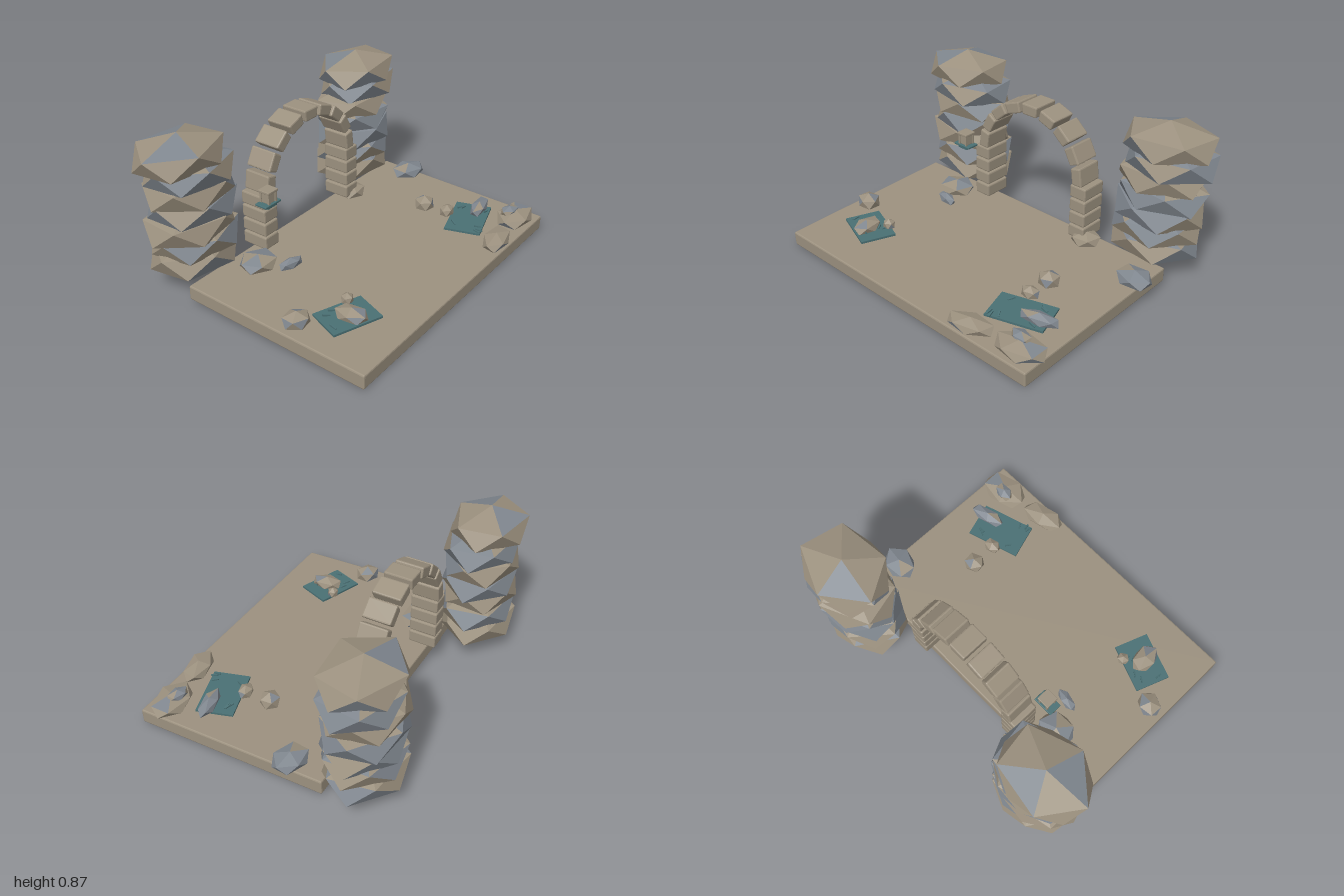
import * as THREE from 'three';
import { RoundedBoxGeometry } from 'three/addons/geometries/RoundedBoxGeometry.js';

export function createModel() {
  const model = new THREE.Group();
  const material = (name, color) => {
    const m = new THREE.MeshStandardMaterial({ color });
    m.name = name;
    return m;
  };
  const sand = material('sandstone', 0x9c917f);
  const slate = material('blue slate', 0x80878f);
  const teal = material('teal cloth', 0x4a7074);

  let seed = 7;
  const rand = () => (seed = (seed * 16807) % 2147483647) / 2147483647;

  const add = (parent, name, geometry, mat, x, y, z) => {
    const mesh = new THREE.Mesh(geometry, mat);
    mesh.name = name;
    mesh.position.set(x, y, z);
    parent.add(mesh);
    return mesh;
  };

  // Box with chamfered edges, optionally narrowing towards the bottom
  const block = (w, h, d, bevel, taper = 0) => {
    const g = new RoundedBoxGeometry(w, h, d, 1, bevel);
    const p = g.attributes.position;
    for (let i = 0; i < p.count; i++) p.setX(i, p.getX(i) * (1 + taper * p.getY(i) / h));
    g.computeVertexNormals();
    return g;
  };

  // Faceted boulder standing on a point; a share of its faces is slate
  const boulder = (parent, name, x, y, z, rx, ry, rz, turn, slateShare, spin = 0) => {
    const g = new THREE.IcosahedronGeometry(1, 0);
    g.rotateZ(-Math.atan(2 / (1 + Math.sqrt(5))));
    g.rotateY(spin);
    g.scale(rx, ry, rz);
    g.computeVertexNormals();
    for (let f = 0; f < 20; f++) g.addGroup(f * 3, 3, rand() < slateShare ? 1 : 0);
    const mesh = add(parent, name, g, [sand, slate], x, y, z);
    mesh.rotation.y = turn;
    return mesh;
  };

  // Ground slab, sloping gently down to the front
  const slab = add(model, 'groundSlab', block(1.75, 0.082, 1.1, 0.008), sand, -0.025, 0.057, 0.17);
  slab.rotation.x = 0.027;

  // Rock pillars: per boulder from the bottom, x centre and share of slate faces
  const pillars = {
    rightPillar: [[-0.7, 0.1], [-0.69, 0.5], [-0.72, 0.15], [-0.69, 0.75],
      [-0.7, 0.1], [-0.7, 0.8], [-0.745, 0.2]],
    leftPillar: [[0.675, 0.45], [0.68, 0.3], [0.69, 0.75], [0.7, 0.7],
      [0.69, 0.1], [0.735, 0.85], [0.715, 0.2]],
  };
  for (const [name, layers] of Object.entries(pillars)) {
    const pillar = new THREE.Group();
    pillar.name = name;
    model.add(pillar);
    layers.forEach(([x, share], i) => {
      const b = boulder(pillar, 'pillarBoulder', x, 0.17 + i * 0.0983, -0.525 + (rand() - 0.5) * 0.02,
        0.285, 0.113, 0.228, 0, share, rand() * 6.28);
      b.rotation.z = (rand() - 0.5) * 0.08;
    });
  }

  // Archway: two block columns and a ring of wedge stones
  const arch = new THREE.Group();
  arch.name = 'archway';
  model.add(arch);
  const cx = -0.022, cz = -0.35;
  for (const side of [-1, 1]) {
    for (let i = 0; i < 4; i++) {
      add(arch, 'columnBlock', block(0.104, 0.073, 0.16, 0.008), sand, cx + side * 0.356, 0.161 + i * 0.0815, cz);
    }
  }
  for (let i = -4; i <= 4; i++) {
    const a = i * 0.358;
    const stone = add(arch, 'archStone', block(0.102, 0.064, 0.16, 0.008, 0.14), sand,
      cx + Math.sin(a) * 0.343, 0.448 + Math.cos(a) * 0.33, cz);
    stone.rotation.z = -a;
  }

  // Small lantern on a teal bracket beside the arch
  const lantern = new THREE.Group();
  lantern.name = 'lantern';
  lantern.position.set(-0.456, 0, -0.216);
  model.add(lantern);
  add(lantern, 'lanternBracket', block(0.118, 0.012, 0.075, 0.003), teal, 0, 0.452, 0);
  add(lantern, 'bracketFoot', block(0.07, 0.016, 0.06, 0.003), teal, 0, 0.44, 0);
  add(lantern, 'lanternBody', block(0.056, 0.06, 0.05, 0.004), sand, 0.003, 0.486, 0);
  add(lantern, 'lanternCap', block(0.074, 0.014, 0.074, 0.003), sand, 0.003, 0.523, 0);
  for (const sx of [-1, 1]) {
    for (const sz of [-1, 1]) {
      add(lantern, 'lanternPost', new THREE.BoxGeometry(0.012, 0.06, 0.012), sand, 0.003 + sx * 0.026, 0.487, sz * 0.026);
    }
  }

  // Torn cloth patches with loose strands: x, z, width, depth, turn
  for (const [x, z, w, d, turn] of [[-0.606, 0.407, 0.28, 0.2, -0.36], [0.547, 0.405, 0.315, 0.205, 0.3]]) {
    const cloth = new THREE.Group();
    cloth.name = 'clothPatch';
    cloth.position.set(x, 0.1, z);
    cloth.rotation.y = turn;
    model.add(cloth);
    add(cloth, 'cloth', new THREE.BoxGeometry(w, 0.012, d), teal, 0, 0, 0);
    for (let i = 0; i < 8; i++) {
      const strand = add(cloth, 'strand', new THREE.BoxGeometry(0.04, 0.008, 0.008), teal,
        (rand() - 0.5) * w, 0.01, (i % 2 ? 0.46 : -0.4) * d * (0.5 + rand() / 2));
      strand.rotation.set(0, rand() * 3, 0.2);
    }
  }

  // Scattered rocks: x, y, z, radii x y z, turn, share of slate faces
  const rocks = [
    [-0.545, 0.135, -0.225, 0.118, 0.045, 0.105, 0, 0.4],
    [-0.47, 0.145, -0.065, 0.08, 0.034, 0.034, -0.2, 0.9],
    [-0.805, 0.128, 0.25, 0.08, 0.05, 0.068, -0.4, 0.25],
    [-0.605, 0.12, 0.43, 0.066, 0.04, 0.1, 0.1, 0.1],
    [-0.52, 0.125, 0.34, 0.038, 0.034, 0.035, 0.3, 0.1],
    [0.38, 0.128, -0.305, 0.093, 0.044, 0.085, 0.3, 0.2],
    [0.8, 0.132, -0.175, 0.118, 0.045, 0.09, -0.2, 0.9],
    [0.495, 0.134, 0.14, 0.064, 0.05, 0.061, 0.4, 0.1],
    [0.5, 0.134, 0.29, 0.056, 0.038, 0.042, 0.1, 0.05],
    [0.665, 0.125, 0.41, 0.12, 0.035, 0.046, 0.2, 0.85],
    [0.435, 0.108, 0.65, 0.145, 0.04, 0.075, 0.2, 0.1],
    [0.725, 0.105, 0.61, 0.155, 0.045, 0.105, 0.1, 0.1],
    [0.705, 0.14, 0.585, 0.07, 0.03, 0.044, -0.2, 0.6],
  ];
  for (const r of rocks) boulder(model, 'rock', ...r, rand() * 6.28);

  return model;
}
